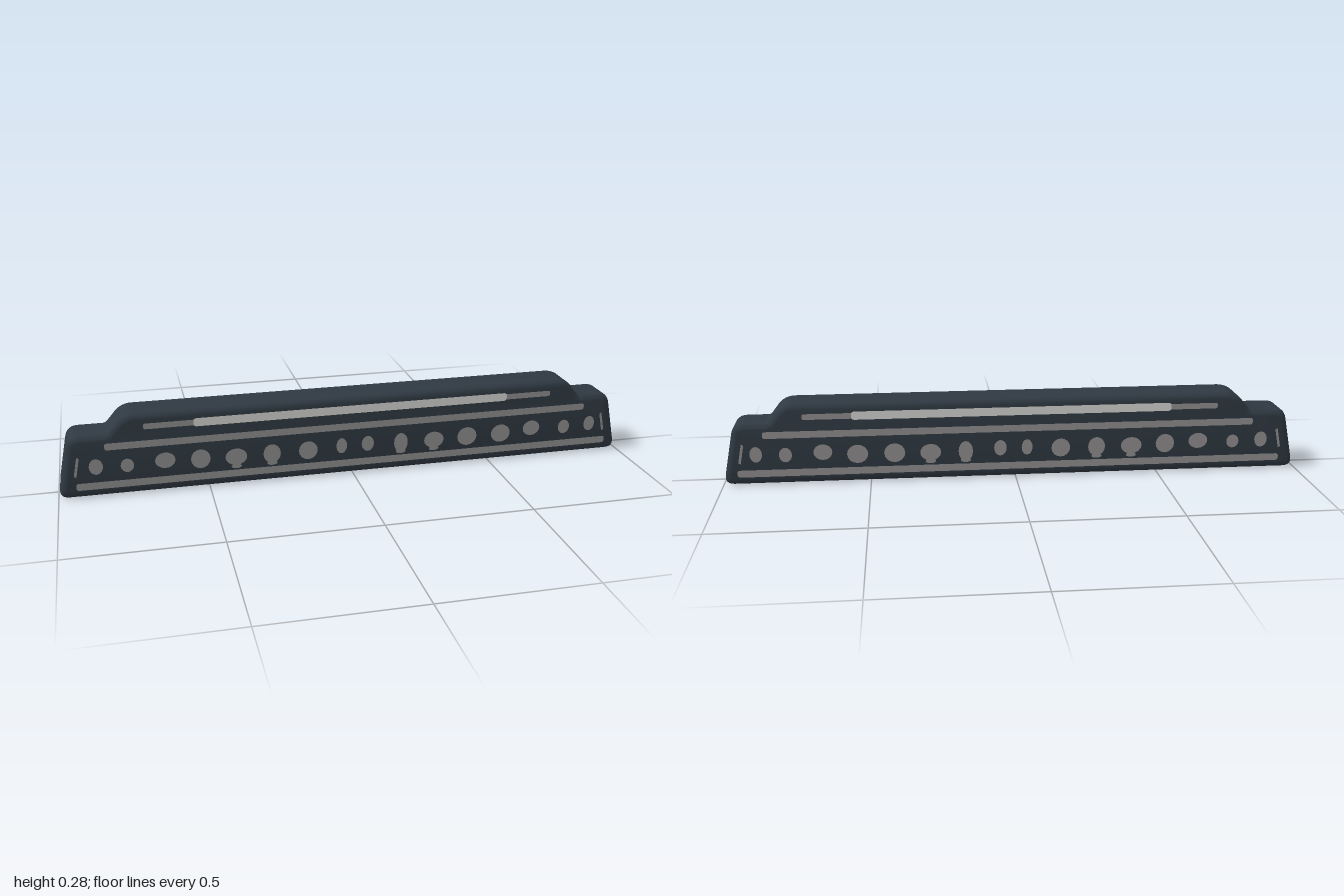
import * as THREE from 'three';
import { toCreasedNormals } from 'three/addons/utils/BufferGeometryUtils.js';

const DEPTH = 0.142, BEVEL = 0.022;

// Closed outline with softened corners; each point is [x, y, corner size]
function roundedOutline(points) {
  const shape = new THREE.Shape();
  const n = points.length;
  points.forEach(([x, y, r], i) => {
    const p = new THREE.Vector2(x, y);
    const toward = ([qx, qy]) => new THREE.Vector2(qx, qy).sub(p).setLength(r).add(p);
    const a = toward(points[(i + n - 1) % n]);
    const b = toward(points[(i + 1) % n]);
    if (i === 0) shape.moveTo(a.x, a.y);
    else shape.lineTo(a.x, a.y);
    shape.quadraticCurveTo(x, y, b.x, b.y);
  });
  shape.closePath();
  return shape;
}

// Stripe with blunt rounded ends
function stripe(x0, x1, y0, y1) {
  const r = (y1 - y0) * 0.4;
  return roundedOutline([[x0, y0, r], [x1, y0, r], [x1, y1, r], [x0, y1, r]]);
}

function ellipse(x, y, rx, ry) {
  return new THREE.Shape().absellipse(x, y, rx, ry, 0, Math.PI * 2);
}

export function createModel() {
  const model = new THREE.Group();
  model.name = 'steppedBar';
  const slate = new THREE.MeshStandardMaterial({ color: 0x2f3942 });
  slate.name = 'slate';
  const grey = new THREE.MeshStandardMaterial({ color: 0x949292 });
  grey.name = 'warm grey';
  const pale = new THREE.MeshStandardMaterial({ color: 0xd9dbd7 });
  pale.name = 'pale grey';

  // Body: tapered bar with a raised upper step
  const r = 0.036;
  const outline = roundedOutline([
    [-1, 0, r], [1, 0, r], [0.957, 0.215, r], [0.84, 0.215, 0.01],
    [0.79, 0.28, r], [-0.775, 0.28, r], [-0.83, 0.215, 0.01], [-0.957, 0.215, r],
  ]);
  const bodyGeometry = new THREE.ExtrudeGeometry(outline, {
    depth: DEPTH - 2 * BEVEL, curveSegments: 6,
    bevelEnabled: true, bevelSize: BEVEL, bevelThickness: BEVEL,
    bevelOffset: -BEVEL, bevelSegments: 4,
  });
  bodyGeometry.translate(0, 0, BEVEL - DEPTH / 2);
  const body = new THREE.Mesh(toCreasedNormals(bodyGeometry, 0.6), slate);
  body.name = 'body';
  model.add(body);

  // Painted spots: [x, y, x radius, y radius]
  const spots = [
    [-0.872, 0.108, 0.023, 0.028], [-0.77, 0.104, 0.022, 0.024],
    [-0.645, 0.11, 0.034, 0.028], [-0.527, 0.104, 0.033, 0.034],
    [-0.407, 0.1, 0.037, 0.03], [-0.284, 0.1, 0.03, 0.034],
    [-0.158, 0.1, 0.033, 0.033], [-0.04, 0.106, 0.019, 0.028],
    [0.053, 0.106, 0.022, 0.028], [0.173, 0.098, 0.025, 0.036],
    [0.294, 0.098, 0.036, 0.03], [0.417, 0.1, 0.036, 0.034],
    [0.543, 0.1, 0.036, 0.033], [0.66, 0.11, 0.032, 0.028],
    [0.786, 0.104, 0.022, 0.026], [0.885, 0.108, 0.021, 0.028],
  ];
  const greyShapes = [
    stripe(-0.71, 0.725, 0.226, 0.246),
    stripe(-0.84, 0.86, 0.163, 0.187),
    stripe(-0.94, 0.95, 0.028, 0.053),
    ...spots.map((s) => ellipse(...s)),
  ];
  // Small feet below some of the spots
  for (const x of [-0.407, -0.284, 0.173, 0.294]) {
    greyShapes.push(ellipse(x, 0.066, 0.018, 0.008));
  }
  // Slanted end ticks
  for (const s of [-1, 1]) {
    const tick = [[0.937, 0.075], [0.945, 0.08], [0.932, 0.146], [0.924, 0.142]];
    const points = tick.map(([x, y]) => new THREE.Vector2(s * x, y));
    greyShapes.push(new THREE.Shape(points));
  }
  const paleShapes = [stripe(-0.545, 0.56, 0.222, 0.251)];

  // The same markings on both broad faces
  for (const [side, sign] of [['front', 1], ['back', -1]]) {
    const addMarkings = (name, shapes, material, lift) => {
      const geometry = new THREE.ShapeGeometry(shapes, 8);
      if (sign < 0) geometry.scale(-1, 1, 1).rotateY(Math.PI);
      // mirrored faces are turned to look outward
      if (sign < 0) {
        const index = geometry.index;
        for (let i = 0; i < index.count; i += 3) {
          const a = index.getX(i);
          index.setX(i, index.getX(i + 1));
          index.setX(i + 1, a);
        }
        geometry.computeVertexNormals();
      }
      geometry.translate(0, 0, sign * (DEPTH / 2 + lift));
      const mesh = new THREE.Mesh(geometry, material);
      mesh.name = side + name;
      model.add(mesh);
    };
    addMarkings('Markings', greyShapes, grey, 0.001);
    addMarkings('BrightStripe', paleShapes, pale, 0.002);
  }
  return model;
}
